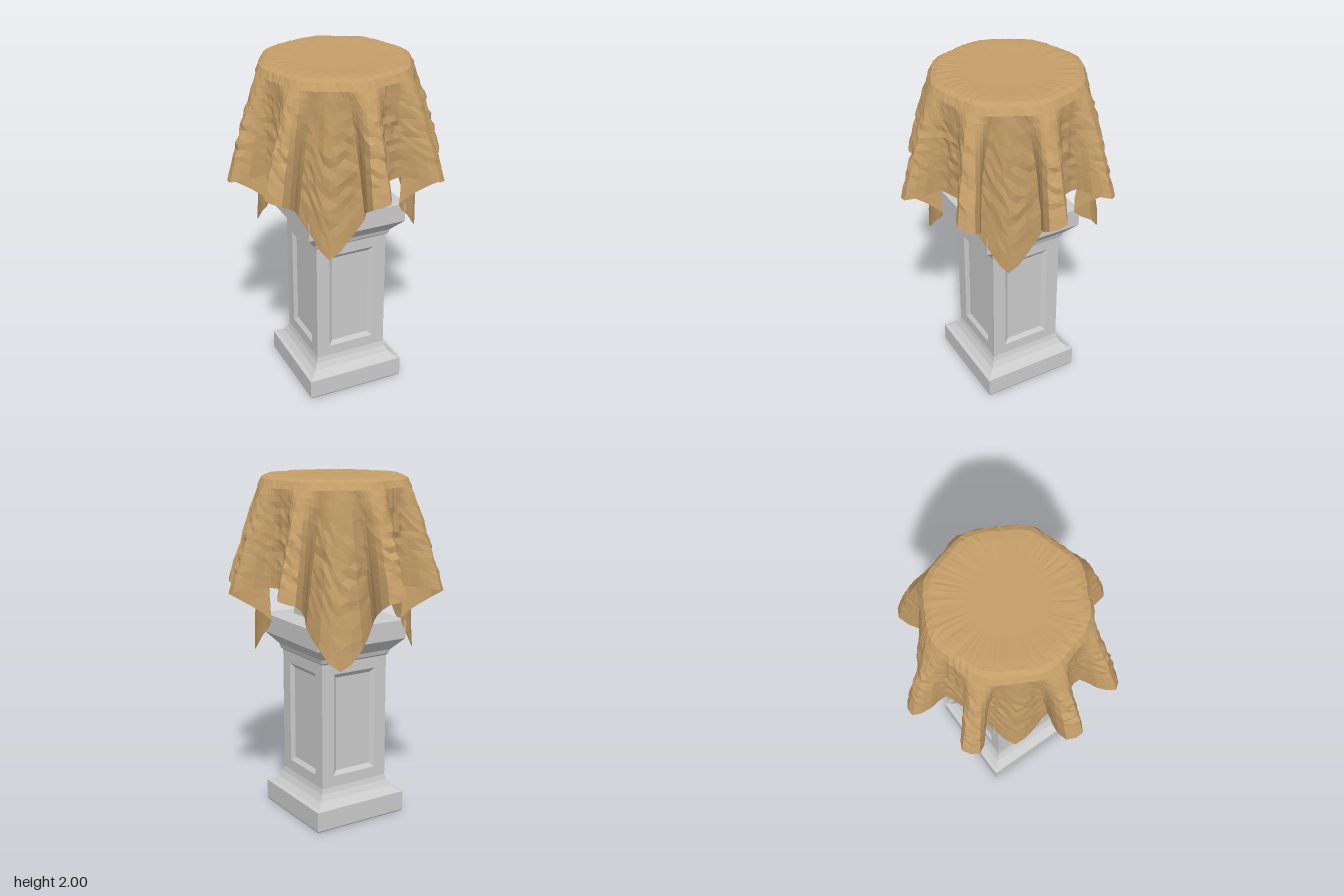
import * as THREE from 'three';

const stone = new THREE.MeshStandardMaterial({ color: 0xcccccc, flatShading: true });
const fabric = new THREE.MeshStandardMaterial({ color: 0xc49e68, flatShading: true, side: THREE.DoubleSide });

// Small seeded noise in -1..1
let seed = 7;
function noise() {
  seed = (seed * 16807) % 2147483647;
  return (seed / 2147483647) * 2 - 1;
}

function add(parent, name, geometry, material = stone) {
  const mesh = new THREE.Mesh(geometry, material);
  mesh.name = name;
  parent.add(mesh);
  return mesh;
}

// Square moulding from [halfSide, y] pairs, listed bottom to top
function squareProfile(pairs) {
  const points = pairs.map(([h, y]) => new THREE.Vector2(h * Math.SQRT2, y));
  return new THREE.LatheGeometry(points, 4, Math.PI / 4).toNonIndexed();
}

// Joins rows of points into a surface; each row closes on itself
function loft(rows) {
  const n = rows[0].length, positions = [], index = [];
  rows.forEach(row => row.forEach(p => positions.push(p.x, p.y, p.z)));
  for (let r = 0; r < rows.length - 1; r++) {
    for (let i = 0; i < n; i++) {
      const a = r * n + i, b = r * n + (i + 1) % n;
      index.push(a, b, a + n, b, b + n, a + n);
    }
  }
  const geometry = new THREE.BufferGeometry();
  geometry.setAttribute('position', new THREE.Float32BufferAttribute(positions, 3));
  geometry.setIndex(index);
  geometry.computeVertexNormals();
  return geometry;
}

function createPedestal() {
  const pedestal = new THREE.Group();
  pedestal.name = 'pedestal';
  add(pedestal, 'plinth', squareProfile([
    [0, 0], [0.292, 0], [0.297, 0.01], [0.297, 0.125], [0.275, 0.132],
    [0.245, 0.16], [0.226, 0.195], [0.218, 0.225]]));
  add(pedestal, 'capital', squareProfile([
    [0.218, 0.965], [0.228, 0.975], [0.235, 1.0], [0.297, 1.07],
    [0.297, 1.18], [0.17, 1.185], [0.165, 1.26], [0, 1.26]]));

  // Four shaft faces, each with a bevelled sunken panel
  const rings = [[0.218, 0.37, 0.218], [0.14, 0.305, 0.218], [0.115, 0.28, 0.2], [0, 0, 0.2]];
  const face = loft(rings.map(([w, h, d]) => [
    new THREE.Vector3(-w, -h, d), new THREE.Vector3(w, -h, d),
    new THREE.Vector3(w, h, d), new THREE.Vector3(-w, h, d)]));
  for (let i = 0; i < 4; i++) {
    const side = add(pedestal, 'shaftPanel', face);
    side.position.y = 0.595;
    side.rotation.y = i * Math.PI / 2;
  }
  pedestal.rotation.y = -0.295;
  return pedestal;
}

// Faceted urn hidden under the cloth, with a broken piece at its foot
function createUrn() {
  const urn = new THREE.Group();
  urn.name = 'urn';
  const profile = [[0.13, 1.25], [0.12, 1.32], [0.105, 1.35], [0.075, 1.4], [0.13, 1.44],
    [0.24, 1.51], [0.31, 1.65], [0.34, 1.8], [0.38, 1.95], [0, 1.96]];
  add(urn, 'urnBody', new THREE.LatheGeometry(profile.map(p => new THREE.Vector2(...p)), 9));
  const shard = add(urn, 'brokenPiece', new THREE.CylinderGeometry(0.09, 0.1, 0.05, 5));
  shard.position.set(0.02, 1.295, -0.1);
  shard.rotation.set(0.08, 0.5, 0.06);
  return urn;
}

// Hem of a square cloth, built from eighths: side middle, outward fold, inward fold, hanging corner
function hemCurve() {
  const eighth = [
    [0, 1.40, 0.43], [0.07, 1.40, 0.44], [0.085, 1.40, 0.54], [0.14, 1.385, 0.63], [0.22, 1.36, 0.58],
    [0.18, 1.28, 0.46], [0.13, 1.2, 0.385], [0.22, 1.1, 0.365], [0.33, 0.99, 0.32]];
  const leanWeight = [0, 0.2, 0.7, 1, 1, 0.6, 0, 0, 0];
  const leans = [0.01, 0.03, 0.08, 0.06, 0.01, 0.01, 0.04, 0.01];
  const up = new THREE.Vector3(0, 1, 0);
  const points = [];
  leans.forEach((lean, k) => {
    const mirrored = k % 2 === 1;
    for (let j = 0; j < 8; j++) {
      const i = mirrored ? 8 - j : j;
      const [x, y, z] = eighth[i];
      const side = x + lean * leanWeight[i], out = z - lean * leanWeight[i] * 0.3;
      const p = mirrored ? new THREE.Vector3(out, y, side) : new THREE.Vector3(side, y, out);
      // The back right corner swings out further than the others
      if (i > 6 && (k === 4 || k === 5)) p.multiply(new THREE.Vector3(1.14, 1, 1.14));
      points.push(p.applyAxisAngle(up, Math.floor(k / 2) * Math.PI / 2));
    }
  });
  return new THREE.CatmullRomCurve3(points, true);
}

function createCloth() {
  const hem = hemCurve(), columns = 128, drops = 16, rows = [];
  const circle = (r, y, rough) => Array.from({ length: columns }, (_, i) => {
    const a = i / columns * Math.PI * 2;
    // Slightly flattened towards the eight sides
    const radius = r * (1 - 0.02 * Math.cos(a * 8) + rough * noise());
    return new THREE.Vector3(Math.sin(a) * radius, y + rough * 0.3 * noise(), Math.cos(a) * radius);
  });

  // Flat top and softly rounded rim
  for (const [r, y] of [[0, 1.99], [0.2, 1.991], [0.33, 1.996], [0.38, 1.994], [0.41, 1.98]]) {
    rows.push(circle(r, y, r > 0.3 ? 0.008 : 0));
  }
  // Hanging folds, deepening towards the hem, with slight crumpling
  const rim = circle(0.432, 1.94, 0.006);
  for (let d = 0; d <= drops; d++) {
    const v = d / drops, spread = Math.pow(v, 0.8);
    rows.push(rim.map((p, i) => {
      const h = hem.getPoint(i / columns);
      const crumple = 1 + 0.018 * noise() * Math.sin(Math.PI * v);
      return new THREE.Vector3(
        THREE.MathUtils.lerp(p.x, h.x, spread) * crumple,
        THREE.MathUtils.lerp(p.y, h.y, v),
        THREE.MathUtils.lerp(p.z, h.z, spread) * crumple);
    }));
  }
  return loft(rows.reverse());
}

export function createModel() {
  const model = new THREE.Group();
  model.name = 'drapedPedestal';
  model.add(createPedestal(), createUrn());
  add(model, 'cloth', createCloth(), fabric);
  return model;
}
